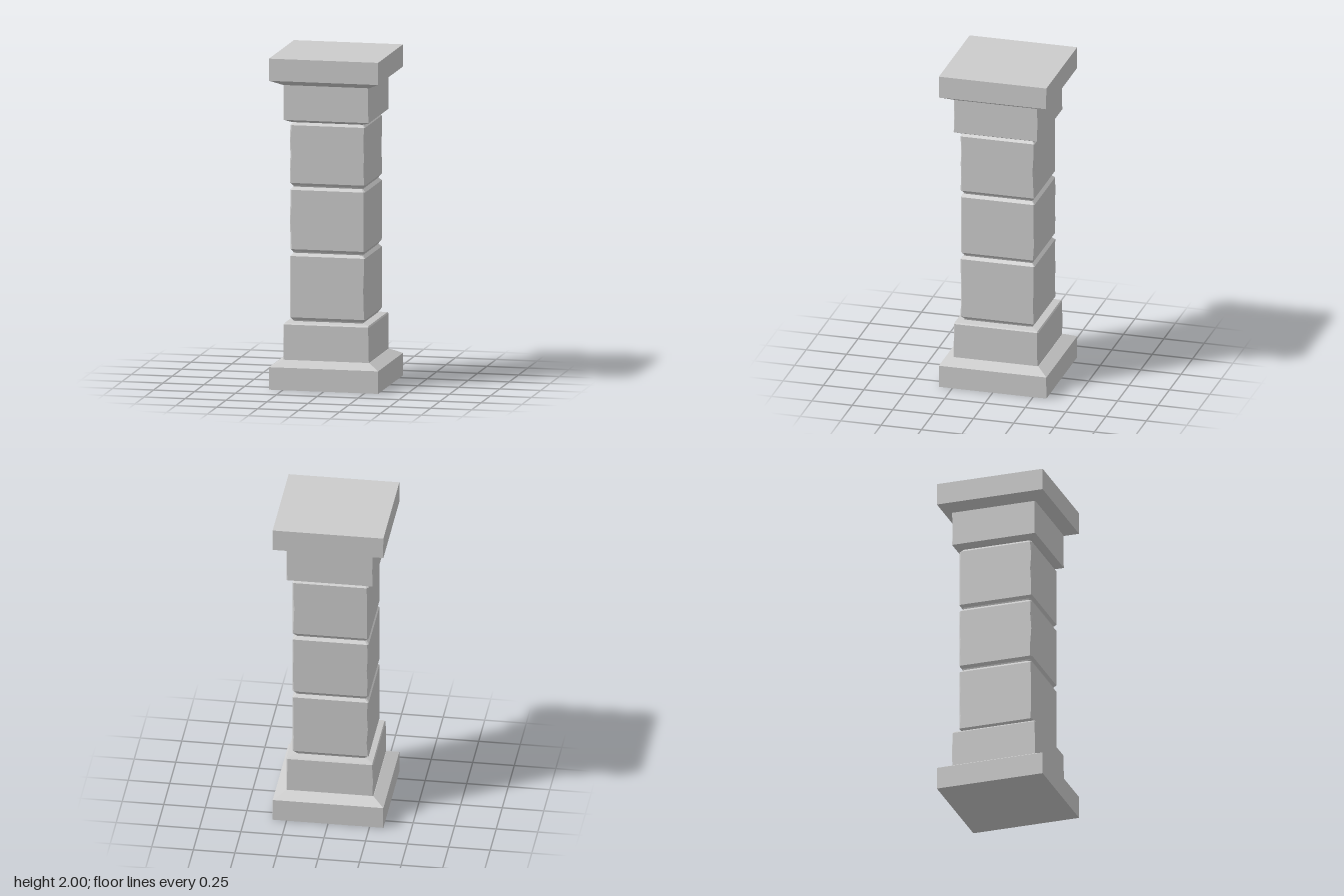
import * as THREE from 'three';

const stone = new THREE.MeshStandardMaterial({ color: 0xcccccc, flatShading: true });

// Small seeded generator for the chipped corners
function seeded(seed) {
  return () => {
    seed = (seed * 16807) % 2147483647;
    return seed / 2147483647;
  };
}

// Square ring with each corner cut by a random amount up to wear
function ring(half, y, wear, rand) {
  const points = [];
  [[1, 1], [-1, 1], [-1, -1], [1, -1]].forEach(([sx, sz], i) => {
    const cut = half - wear * (0.2 + 0.8 * rand());
    const onX = new THREE.Vector3(sx * half, y, sz * cut);
    const onZ = new THREE.Vector3(sx * cut, y, sz * half);
    points.push(...(i % 2 === 0 ? [onX, onZ] : [onZ, onX]));
  });
  return points;
}

// Closed square solid through [half width, height] sections
function squareStack(name, sections, wear, seed) {
  const rand = seeded(seed);
  const rings = sections.map(([half, y]) => ring(half, y, wear, rand));
  const positions = [];
  const tri = (...corners) => corners.forEach((p) => positions.push(p.x, p.y, p.z));
  const bottom = rings[0];
  const top = rings[rings.length - 1];
  const bottomCentre = new THREE.Vector3(0, sections[0][1], 0);
  const topCentre = new THREE.Vector3(0, sections[sections.length - 1][1], 0);
  for (let i = 0; i < 8; i++) {
    const j = (i + 1) % 8;
    for (let k = 0; k < rings.length - 1; k++) {
      const low = rings[k];
      const high = rings[k + 1];
      tri(low[i], high[j], low[j]);
      tri(low[i], high[i], high[j]);
    }
    tri(bottomCentre, bottom[i], bottom[j]);
    tri(topCentre, top[j], top[i]);
  }
  const geometry = new THREE.BufferGeometry();
  geometry.setAttribute('position', new THREE.Float32BufferAttribute(positions, 3));
  geometry.computeVertexNormals();
  const mesh = new THREE.Mesh(geometry, stone);
  mesh.name = name;
  return mesh;
}

export function createModel() {
  const model = new THREE.Group();
  model.name = 'stonePillar';

  // Base slab with sloped top, and the pedestal block on it
  model.add(squareStack('baseSlab', [[0.333, 0], [0.333, 0.136], [0.264, 0.172]], 0.002, 11));
  model.add(squareStack('pedestal',
    [[0.262, 0.172], [0.262, 0.28], [0.262, 0.385], [0.256, 0.393], [0.21, 0.4]], 0.009, 23));

  // Three shaft blocks with bevelled, slightly worn edges
  [[0.4, 0.812], [0.812, 1.212], [1.212, 1.603]].forEach(([y0, y1], i) => {
    const sections = [[0.212, y0], [0.215, y0 + 0.008], [0.229, y0 + 0.024]];
    for (let k = 1; k < 4; k++) {
      sections.push([0.229, THREE.MathUtils.lerp(y0 + 0.024, y1 - 0.018, k / 4)]);
    }
    sections.push([0.229, y1 - 0.018], [0.212, y1]);
    model.add(squareStack(`shaftBlock${i + 1}`, sections, 0.012, 37 + i * 101));
  });

  // Capital block and the overhanging top slab
  model.add(squareStack('capital',
    [[0.21, 1.6], [0.228, 1.605], [0.262, 1.621], [0.262, 1.72], [0.262, 1.832]], 0.008, 71));
  model.add(squareStack('topSlab', [[0.264, 1.832], [0.333, 1.866], [0.333, 2]], 0.002, 89));

  return model;
}
